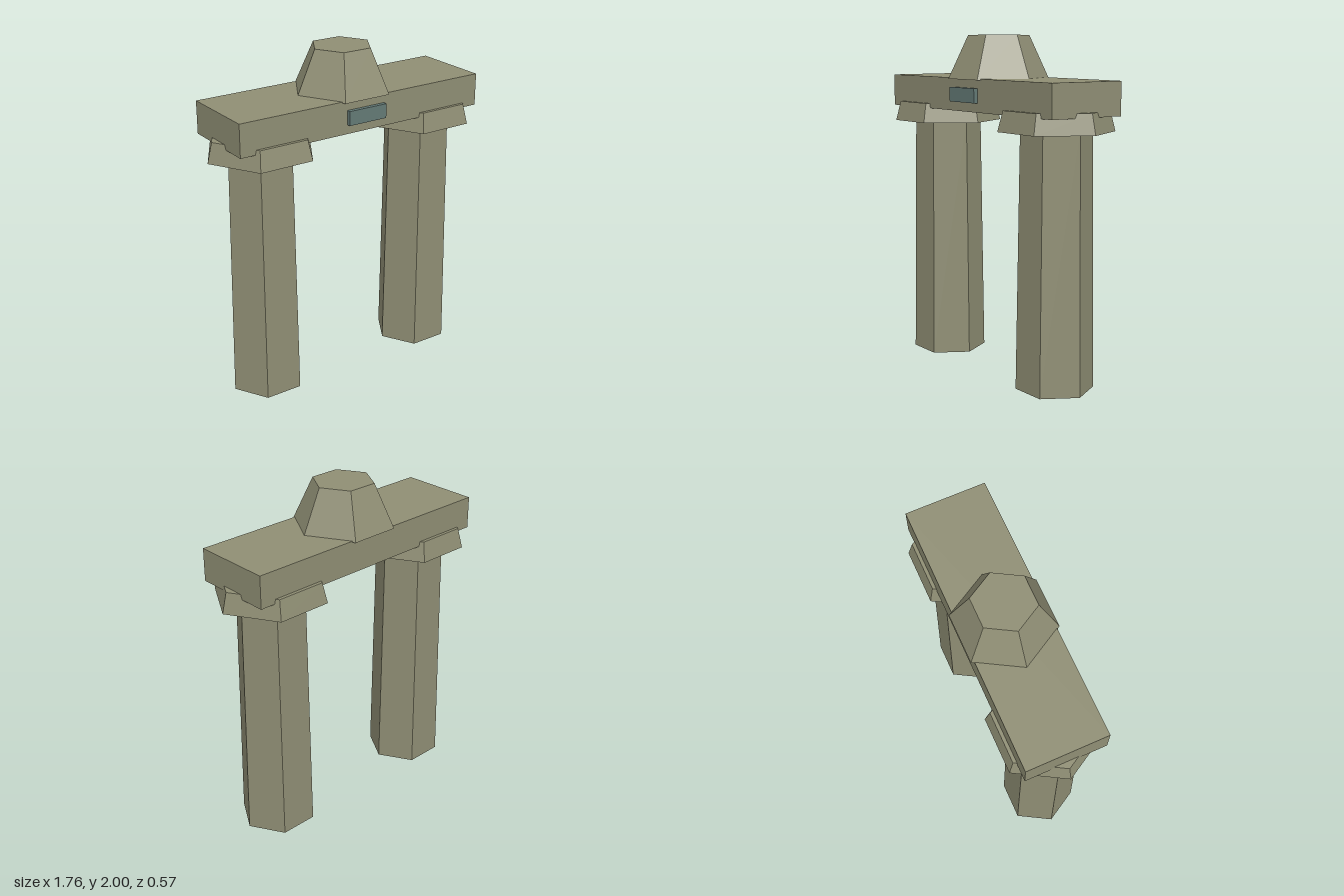
import * as THREE from 'three';

export function createModel() {
  const stone = new THREE.MeshStandardMaterial({ color: 0x8f8e74, flatShading: true });
  stone.name = 'stone';
  const slate = new THREE.MeshStandardMaterial({ color: 0x647a76, flatShading: true });
  slate.name = 'slate';

  const model = new THREE.Group();
  model.name = 'stoneGate';

  const add = (name, geometry, material, x, y, z) => {
    const mesh = new THREE.Mesh(geometry, material);
    mesh.name = name;
    mesh.position.set(x, y, z);
    model.add(mesh);
  };

  // Tapered six-sided block with corners on the x axis
  const hexBlock = (name, x, y0, y1, rBottom, rTop) => add(
    name,
    new THREE.CylinderGeometry(rTop, rBottom, y1 - y0, 6, 1, false, Math.PI / 6),
    stone, x, (y0 + y1) / 2, 0
  );

  // Pillars with flared capitals
  for (const [side, x] of [['left', 0.548], ['right', -0.548]]) {
    hexBlock(side + 'Pillar', x, 0, 1.48, 0.225, 0.204);
    hexBlock(side + 'Capital', x, 1.47, 1.588, 0.33, 0.3);
  }

  // Lintel, crown and plaque
  add('lintel', new THREE.BoxGeometry(1.614, 0.192, 0.48), stone, 0, 1.656, 0);
  hexBlock('crown', 0, 1.745, 2, 0.298, 0.18);
  add('plaque', new THREE.BoxGeometry(0.25, 0.084, 0.03), slate, 0, 1.656, 0.25);

  return model;
}
